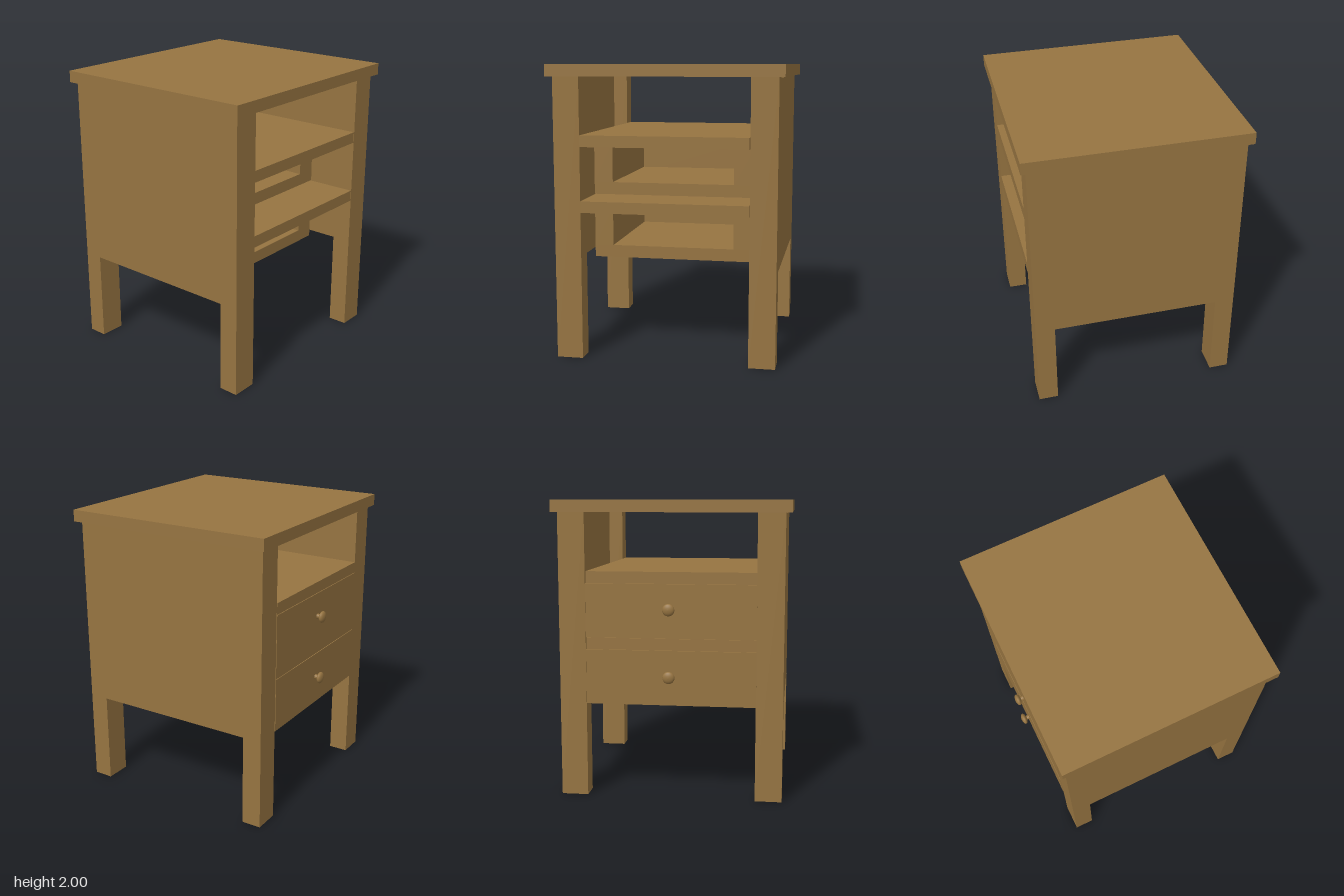
import * as THREE from 'three';

export function createModel() {
  const group = new THREE.Group();
  const wood = new THREE.MeshStandardMaterial({ color: 0x967441 });
  wood.name = 'wood';

  // Box given by its extents on each axis
  function box(name, x0, x1, y0, y1, z0, z1, parent = group) {
    const mesh = new THREE.Mesh(new THREE.BoxGeometry(x1 - x0, y1 - y0, z1 - z0), wood);
    mesh.position.set((x0 + x1) / 2, (y0 + y1) / 2, (z0 + z1) / 2);
    mesh.name = name;
    parent.add(mesh);
  }

  box('tableTop', -0.73, 0.76, 1.92, 2, -0.79, 0.79);

  // Legs and the side panels between them
  for (const [z0, z1] of [[-0.75, -0.57], [0.57, 0.75]]) {
    box('leg', -0.7, -0.565, 0, 1.92, z0, z1);
    box('leg', 0.59, 0.725, 0, 1.92, z0, z1);
  }
  box('sidePanel', -0.565, 0.59, 0.635, 1.913, 0.675, 0.75);
  box('sidePanel', -0.565, 0.59, 0.635, 1.913, -0.75, -0.675);

  // Shelves
  for (const y of [1.012, 1.455]) box('shelf', -0.7, 0.725, y, y + 0.078, -0.565, 0.57);

  // Knob turned about the x axis: stem, then a flattened round head
  const profile = [[0.018, 0], [0.016, 0.02]];
  for (let i = 1; i <= 10; i++) {
    const a = -Math.PI / 2 + (i / 10) * Math.PI;
    profile.push([Math.max(0, 0.041 * Math.cos(a)), 0.041 + 0.02 * Math.sin(a)]);
  }
  const knobGeometry = new THREE.LatheGeometry(profile.map(p => new THREE.Vector2(...p)), 24);
  knobGeometry.rotateZ(Math.PI / 2);

  // Drawers: thick-walled trays, open at the rear and on top
  for (const [y0, y1] of [[0.641, 1.01], [1.092, 1.453]]) {
    const drawer = new THREE.Group();
    drawer.name = 'drawer';
    box('drawerFront', -0.703, -0.6, y0, y1, -0.568, 0.572, drawer);
    box('drawerBottom', -0.6, 0.37, y0, y0 + 0.086, -0.568, 0.572, drawer);
    box('drawerSide', -0.6, 0.37, y0 + 0.086, y1, 0.44, 0.572, drawer);
    box('drawerSide', -0.6, 0.37, y0 + 0.086, y1, -0.568, -0.42, drawer);
    const knob = new THREE.Mesh(knobGeometry, wood);
    knob.name = 'knob';
    knob.position.set(-0.7, y0 + 0.195, -0.006);
    drawer.add(knob);
    group.add(drawer);
  }

  return group;
}
